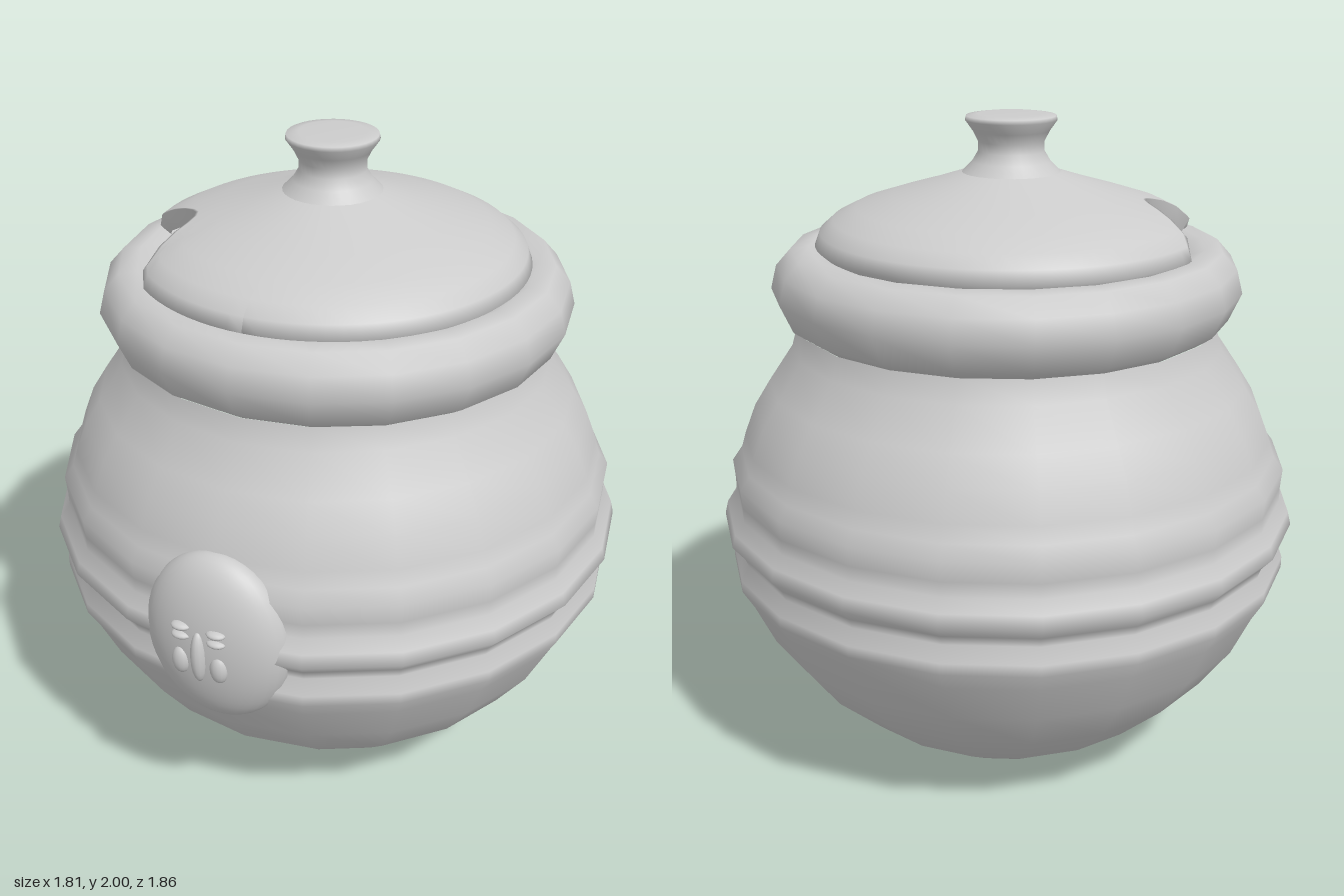
import * as THREE from 'three';

const material = new THREE.MeshStandardMaterial({ color: 0xcccccc });
const vec = ([r, y]) => new THREE.Vector2(r, y);

function add(parent, geometry, name, x = 0, y = 0, z = 0) {
  const mesh = new THREE.Mesh(geometry, material);
  mesh.name = name;
  mesh.position.set(x, y, z);
  parent.add(mesh);
  return mesh;
}

// Lid dome from its edge up to the neck of the knob
const DOME = [[0.595, 1.62], [0.58, 1.66], [0.54, 1.695], [0.47, 1.73], [0.36, 1.765], [0.25, 1.797], [0.14, 1.832]];

// Height of the dome at a given radius
function domeHeight(r) {
  for (let i = 1; i < DOME.length; i++) {
    const [r0, y0] = DOME[i - 1], [r1, y1] = DOME[i];
    if (r >= r1) return y0 + (y1 - y0) * Math.min(1, (r0 - r) / (r0 - r1));
  }
  return DOME.at(-1)[1];
}

// Dome with a rounded spoon notch cut into its edge
function lidGeometry() {
  const edge = DOME[0][0], neck = DOME.at(-1)[0];
  const points = [[0.56, 1.59], ...DOME].map(vec);
  const geometry = new THREE.LatheGeometry(points, 80);
  const pos = geometry.attributes.position;
  const middle = THREE.MathUtils.degToRad(156), half = THREE.MathUtils.degToRad(22);
  for (let i = 0; i < pos.count; i++) {
    const x = pos.getX(i), z = pos.getZ(i);
    const d = Math.abs(Math.atan2(z, x) - middle) / half;
    if (d >= 1) continue;
    const notchEdge = edge - 0.19 * Math.cos(d * Math.PI / 2);
    const r = Math.hypot(x, z);
    let newR, y;
    if (i % points.length === 0) {
      // underside lip of the notch
      newR = notchEdge - 0.03;
      y = domeHeight(notchEdge) - 0.05;
    } else {
      newR = neck + (r - neck) * (notchEdge - neck) / (edge - neck);
      y = domeHeight(newR);
    }
    pos.setXYZ(i, x * newR / r, y, z * newR / r);
  }
  geometry.computeVertexNormals();
  return geometry;
}

export function createModel() {
  const model = new THREE.Group();
  model.name = 'lidded honey pot';

  // Round belly with three raised bands
  const belly = [
    [0, 0], [0.335, 0], [0.53, 0.13], [0.69, 0.28], [0.79, 0.42], [0.85, 0.55],
    [0.885, 0.61], [0.885, 0.645], [0.86, 0.69], [0.87, 0.72], [0.905, 0.76], [0.895, 0.8],
    [0.865, 0.835], [0.865, 0.88], [0.87, 0.94], [0.84, 0.98], [0.825, 1.03],
    [0.79, 1.12], [0.74, 1.2], [0.665, 1.31], [0.645, 1.38],
  ];
  add(model, new THREE.LatheGeometry(belly.map(vec), 20), 'potBody', -0.005, 0, -0.033);

  // Thick rolled rim with an inner lip sloping under the lid
  const rim = [
    [0.635, 1.375], [0.68, 1.405], [0.718, 1.49], [0.7, 1.56], [0.655, 1.61],
    [0.6, 1.615], [0.54, 1.595], [0.49, 1.55],
  ];
  add(model, new THREE.LatheGeometry(rim.map(vec), 20), 'rim', -0.003, 0, -0.033);

  // Lid and its flared knob
  const lid = new THREE.Group();
  lid.name = 'lid';
  lid.position.set(-0.01, 0, -0.018);
  model.add(lid);
  add(lid, lidGeometry(), 'lidDome');
  const knob = [
    [0.15, 1.828], [0.118, 1.86], [0.1, 1.89], [0.1, 1.92], [0.115, 1.95],
    [0.138, 1.982], [0.135, 1.995], [0.1, 2], [0, 2],
  ];
  add(lid, new THREE.LatheGeometry(knob.map(vec), 32), 'knob');

  // Oval boss on the front
  const boss = add(model, new THREE.SphereGeometry(1, 32, 24), 'frontBoss', 0, 0.77, 0.79);
  boss.scale.set(0.225, 0.275, 0.11);

  // Small raised insect-like relief on the boss
  const relief = new THREE.Group();
  relief.name = 'bossRelief';
  relief.position.set(-0.01, 0.77, 0.892);
  model.add(relief);
  const bead = new THREE.SphereGeometry(1, 14, 10);
  const body = add(relief, bead, 'reliefBody', 0, -0.01, 0);
  body.scale.set(0.024, 0.085, 0.03);
  for (const side of [-1, 1]) {
    [[0.055, 0.08, 0.03, 0.012], [0.055, 0.05, 0.03, 0.012], [0.06, -0.04, 0.028, 0.045]].forEach(([x, y, w, h]) => {
      const wing = add(relief, bead, 'reliefWing', side * x, y, -0.003);
      wing.scale.set(w, h, 0.022);
    });
  }

  return model;
}
